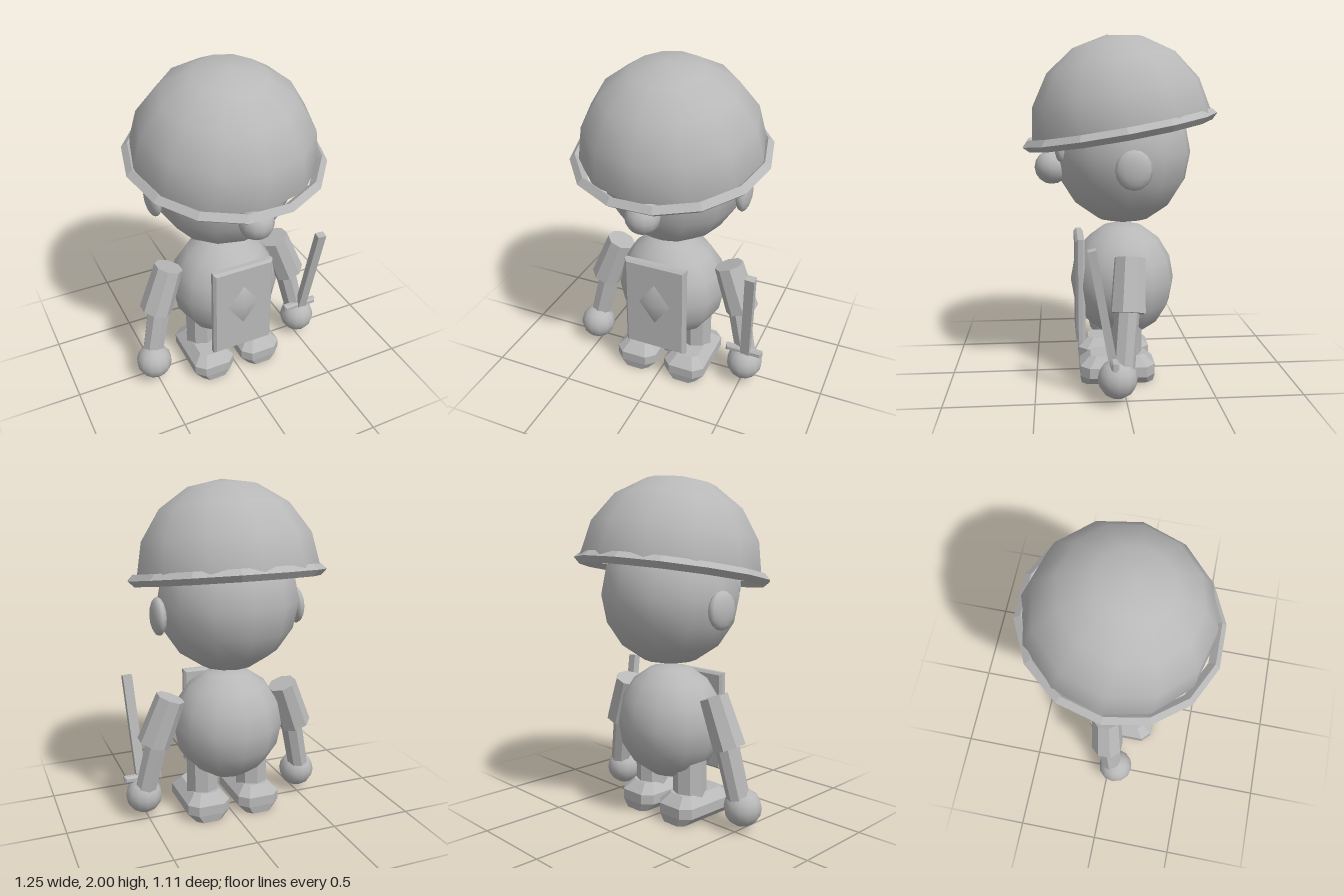
import * as THREE from 'three';

const UP = new THREE.Vector3(0, 1, 0);

export function createModel() {
  const model = new THREE.Group();
  const grey = new THREE.MeshStandardMaterial({ color: 0xb8b8b8, side: THREE.DoubleSide });
  grey.name = 'plain grey';

  function add(name, geometry, x = 0, y = 0, z = 0) {
    const mesh = new THREE.Mesh(geometry, grey);
    mesh.name = name;
    mesh.position.set(x, y, z);
    model.add(mesh);
    return mesh;
  }

  // Separate faces so that every facet has a hard edge
  function faceted(geometry) {
    const g = geometry.index ? geometry.toNonIndexed() : geometry;
    g.computeVertexNormals();
    return g;
  }

  function ball(name, x, y, z, rx, ry = rx, rz = rx) {
    add(name, new THREE.SphereGeometry(1, 12, 8), x, y, z).scale.set(rx, ry, rz);
  }

  // Eight-sided limb section running from a to b
  function limb(name, a, b, ra, rb) {
    const from = new THREE.Vector3(...a), to = new THREE.Vector3(...b);
    const dir = to.clone().sub(from);
    const mid = from.clone().add(to).multiplyScalar(0.5);
    const g = faceted(new THREE.CylinderGeometry(rb, ra, dir.length(), 8));
    add(name, g, mid.x, mid.y, mid.z).quaternion.setFromUnitVectors(UP, dir.normalize());
  }

  // Box with chamfered edges
  function bevelBox(w, h, d, b) {
    const x = w / 2 - b, y = h / 2 - b;
    const s = new THREE.Shape([
      new THREE.Vector2(-x, -y), new THREE.Vector2(x, -y),
      new THREE.Vector2(x, y), new THREE.Vector2(-x, y),
    ]);
    const g = new THREE.ExtrudeGeometry(s, {
      depth: d - 2 * b, bevelEnabled: true, bevelSize: b, bevelThickness: b, bevelSegments: 1,
    });
    return g.translate(0, 0, b - d / 2);
  }

  // Foot: chamfered rectangles stacked upward, [y, half width, half length]
  function footGeometry() {
    const rings = [[0, 0.085, 0.21], [0.05, 0.133, 0.217], [0.11, 0.133, 0.217], [0.165, 0.08, 0.155]];
    const pos = [], idx = [], n = 8;
    for (const [y, w, l] of rings) {
      const c = w * 0.4;
      for (const [x, z] of [[w, l - c], [w, c - l], [w - c, -l], [c - w, -l],
        [-w, c - l], [-w, l - c], [c - w, l], [w - c, l]]) pos.push(x, y, z);
    }
    for (let r = 0; r < rings.length - 1; r++) {
      for (let i = 0; i < n; i++) {
        const a = r * n + i, b = r * n + (i + 1) % n;
        idx.push(a, b, b + n, a, b + n, a + n);
      }
    }
    const top = (rings.length - 1) * n;
    for (let i = 1; i < n - 1; i++) {
      idx.push(0, i + 1, i, top, top + i, top + i + 1);
    }
    const g = new THREE.BufferGeometry();
    g.setAttribute('position', new THREE.Float32BufferAttribute(pos, 3));
    g.setIndex(idx);
    return faceted(g);
  }

  // Body and face
  ball('body', 0, 0.57, -0.02, 0.335, 0.345, 0.31);
  ball('head', 0, 1.33, -0.025, 0.418, 0.42, 0.4);
  ball('nose', 0, 1.245, 0.394, 0.1);

  // Helmet shell and its angular rim, tipped forward
  const tilt = THREE.MathUtils.degToRad(10);
  const dome = new THREE.SphereGeometry(0.535, 12, 4, 0, Math.PI * 2, 0, Math.PI / 2);
  add('helmetDome', dome, 0, 1.475, -0.02).rotation.x = tilt;
  const rim = faceted(new THREE.TorusGeometry(0.545, 0.034, 4, 14).rotateX(Math.PI / 2));
  add('helmetRim', rim, 0, 1.465, 0).rotation.x = tilt;

  // Paired parts
  for (const s of [1, -1]) {
    const side = s > 0 ? 'left' : 'right';
    ball(side + 'Eye', s * 0.175, 1.365, 0.345, 0.045, 0.075, 0.03);
    ball(side + 'Ear', s * 0.425, 1.265, -0.045, 0.042, 0.11, 0.102);
    limb(side + 'UpperArm', [s * 0.358, 0.77, -0.03], [s * 0.463, 0.49, -0.01], 0.088, 0.1);
    limb(side + 'LowerArm', [s * 0.435, 0.52, -0.01], [s * 0.508, 0.2, 0.02], 0.07, 0.066);
    ball(side + 'Hand', s * 0.515, 0.14, 0.05, 0.11);
    limb(side + 'Leg', [s * 0.162, 0.12, -0.02], [s * 0.162, 0.38, -0.02], 0.1, 0.1);
    add(side + 'Foot', footGeometry(), s * 0.162, 0, 0.027);
  }

  // Chest board
  add('chestBoard', bevelBox(0.388, 0.605, 0.055, 0.015), 0, 0.543, 0.238);

  // Sword in the left hand
  const base = new THREE.Vector3(0.525, 0.22, 0.075), tip = new THREE.Vector3(0.562, 0.865, 0.19);
  const dir = tip.clone().sub(base), mid = base.clone().add(tip).multiplyScalar(0.5);
  add('swordBlade', new THREE.BoxGeometry(0.056, dir.length(), 0.045), mid.x, mid.y, mid.z)
    .quaternion.setFromUnitVectors(UP, dir.normalize());
  add('swordGuard', bevelBox(0.23, 0.045, 0.045, 0.012), 0.515, 0.243, 0.072);

  return model;
}
